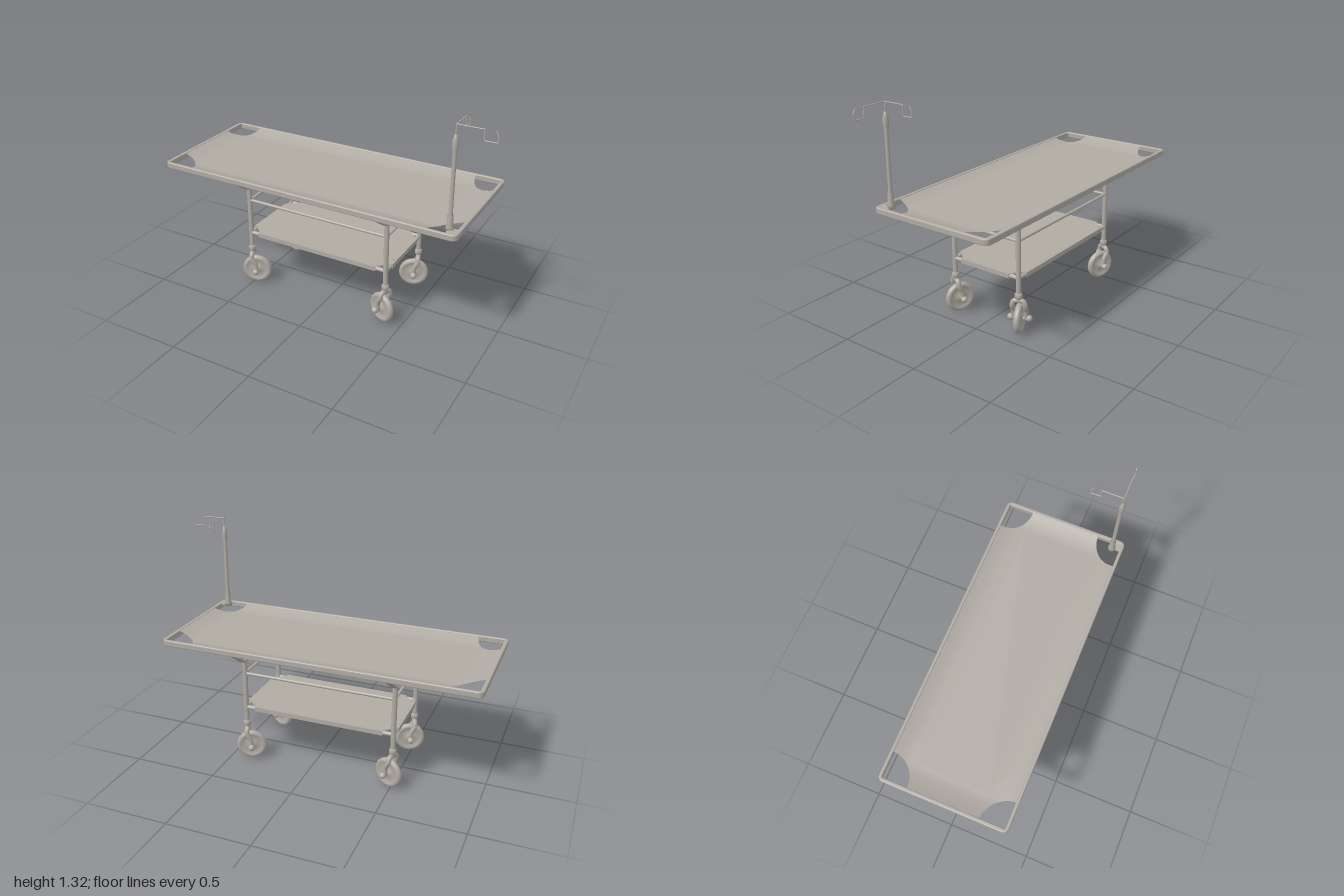
import * as THREE from 'three';

const LEG_X = [-0.505, 0.4], LEG_Z = 0.226, MID_X = -0.0525;

export function createModel() {
  const model = new THREE.Group();
  model.name = 'stretcherTrolley';
  const steel = new THREE.MeshStandardMaterial({ color: 0xb0aba3, side: THREE.DoubleSide });
  steel.name = 'warm grey steel';

  const add = (name, geometry, parent = model) => {
    const mesh = new THREE.Mesh(geometry, steel);
    mesh.name = name;
    parent.add(mesh);
    return mesh;
  };
  const V = (p) => new THREE.Vector3(...p);
  // Straight round bar between two points
  const bar = (name, a, b, r, parent = model) => {
    const p = V(a), q = V(b), d = q.clone().sub(p);
    const mesh = add(name, new THREE.CylinderGeometry(r, r, d.length(), 20), parent);
    mesh.position.copy(p).add(q).multiplyScalar(0.5);
    mesh.quaternion.setFromUnitVectors(new THREE.Vector3(0, 1, 0), d.normalize());
    return mesh;
  };
  const lathe = (pts) => new THREE.LatheGeometry(pts.map((p) => new THREE.Vector2(...p)), 32);
  const box = (name, w, h, d, x, y, z) =>
    add(name, new THREE.BoxGeometry(w, h, d)).position.set(x, y, z);

  // Rounded rectangle outline, used for the top frame
  const roundRect = (target, x0, x1, z, r) => {
    target.moveTo(x0 + r, -z);
    target.lineTo(x1 - r, -z);
    target.absarc(x1 - r, -z + r, r, -Math.PI / 2, 0, false);
    target.lineTo(x1, z - r);
    target.absarc(x1 - r, z - r, r, 0, Math.PI / 2, false);
    target.lineTo(x0 + r, z);
    target.absarc(x0 + r, z - r, r, Math.PI / 2, Math.PI, false);
    target.lineTo(x0, -z + r);
    target.absarc(x0 + r, -z + r, r, Math.PI, Math.PI * 1.5, false);
    return target;
  };
  const bevel = 0.006;
  const rim = roundRect(new THREE.Shape(), -1 + bevel, 0.85 - bevel, 0.378 - bevel, 0.025);
  rim.holes.push(roundRect(new THREE.Path(), -0.978 - bevel, 0.828 + bevel, 0.359 + bevel, 0.012));
  const rimGeo = new THREE.ExtrudeGeometry(rim, {
    depth: 0.036 - 2 * bevel, bevelThickness: bevel, bevelSize: bevel, bevelSegments: 3, curveSegments: 6,
  });
  rimGeo.rotateX(-Math.PI / 2);
  add('topFrame', rimGeo).position.y = 0.72 + bevel;

  add('canvasBed', canvasGeometry());

  // Bent flat brackets that carry the frame on each pair of legs
  const bracket = new THREE.Shape([
    [-0.372, 0.722], [-0.25, 0.636], [0.25, 0.636], [0.372, 0.722],
    [0.352, 0.722], [0.244, 0.648], [-0.244, 0.648], [-0.352, 0.722],
  ].map((p) => new THREE.Vector2(...p)));
  for (const x of LEG_X) {
    const g = new THREE.ExtrudeGeometry(bracket, { depth: 0.034, bevelEnabled: false });
    g.translate(0, 0, -0.017).rotateY(Math.PI / 2);
    add('crossBracket', g).position.x = x;
    // Cross rails between the legs
    bar('upperCrossRail', [x, 0.558, -LEG_Z], [x, 0.558, LEG_Z], 0.009);
    bar('shelfCrossRail', [x, 0.34, -LEG_Z], [x, 0.34, LEG_Z], 0.012);
    box('shelfEndLip', 0.028, 0.027, 0.34, x, 0.341, 0);
  }
  for (const z of [-LEG_Z, LEG_Z]) {
    bar('upperSideRail', [LEG_X[0], 0.558, z], [LEG_X[1], 0.558, z], 0.009);
    bar('shelfSideRail', [LEG_X[0], 0.34, z], [LEG_X[1], 0.34, z], 0.012);
    box('shelfSideLip', 0.785, 0.027, 0.028, MID_X, 0.341, z);
  }

  // Lower shelf with cut corners
  const hx = 0.452, hz = LEG_Z, cx = 0.392, cz = 0.17;
  const shelf = new THREE.Shape([
    [-cx, -hz], [cx, -hz], [hx, -cz], [hx, cz], [cx, hz], [-cx, hz], [-hx, cz], [-hx, -cz],
  ].map((p) => new THREE.Vector2(...p)));
  const shelfGeo = new THREE.ExtrudeGeometry(shelf, { depth: 0.01, bevelEnabled: false });
  shelfGeo.rotateX(-Math.PI / 2);
  add('lowerShelf', shelfGeo).position.set(MID_X, 0.345, 0);

  // Legs and swivelled casters
  for (const sx of [-1, 1]) {
    for (const sz of [-1, 1]) {
      const x = sx < 0 ? LEG_X[0] : LEG_X[1], z = sz * LEG_Z;
      bar('leg', [x, 0.235, z], [x, 0.642, z], 0.0145);
      const caster = makeCaster(-sx * 0.024);
      caster.position.set(x, 0, z);
      caster.rotation.y = THREE.MathUtils.degToRad(-sx * sz * 22);
      model.add(caster);
    }
  }

  function makeCaster(trail) {
    const caster = new THREE.Group();
    caster.name = 'caster';
    add('swivelCollar', lathe([[0, 0.212], [0.014, 0.212], [0.021, 0.222], [0.022, 0.243], [0.016, 0.252], [0, 0.252]]), caster);
    // Inverted U fork sweeping back to the axle
    const half = [[trail, 0.09, 0.036], [trail * 0.8, 0.135, 0.036], [0, 0.175, 0.037], [0, 0.2, 0.028]];
    const path = [...half, [0, 0.206, 0], ...half.slice().reverse().map(([a, b, c]) => [a, b, -c])];
    add('fork', new THREE.TubeGeometry(new THREE.CatmullRomCurve3(path.map(V)), 40, 0.0145, 12), caster);
    const side = [[0.089, 0], [0.087, 0.01], [0.078, 0.018], [0.066, 0.018], [0.06, 0.012], [0.03, 0.008], [0.022, 0.022], [0, 0.022]];
    const profile = [...side.slice(1).reverse().map(([r, y]) => [r, -y]), ...side];
    const wheel = add('wheel', lathe(profile), caster);
    wheel.rotation.x = Math.PI / 2;
    wheel.position.set(trail, 0.089, 0);
    bar('axle', [trail, 0.089, -0.055], [trail, 0.089, 0.055], 0.014, caster);
    for (const s of [-1, 1]) {
      add('axleCap', new THREE.SphereGeometry(0.019, 16, 12), caster).position.set(trail, 0.089, s * 0.053);
    }
    return caster;
  }

  // Infusion pole with its fittings
  const pole = new THREE.Group();
  pole.name = 'infusionPole';
  pole.position.set(0.787, 0, 0.312);
  model.add(pole);
  box('poleMount', 0.05, 0.012, 0.07, 0.808, 0.748, 0.335);
  add('poleShaft', lathe([
    [0, 0.745], [0.022, 0.745], [0.022, 0.77], [0.016, 0.772], [0.016, 0.832], [0.011, 0.834], [0.011, 1.18],
    [0.015, 1.19], [0.016, 1.235], [0.009, 1.243], [0.008, 1.26], [0, 1.262],
  ]), pole);
  bar('poleRod', [0, 1.25, 0], [0, 1.316, 0], 0.003, pole);
  // Two bent wire hooks, one along +x and one along -z
  const hook = [[0, 1.313], [0.14, 1.313], [0.14, 1.256], [0.207, 1.256], [0.207, 1.292], [0.195, 1.313]];
  const hookZ = hook.map(([d, y]) => [d > 0.14 ? d * 0.88 : d * 0.9, y]);
  const wire = (pts) => {
    for (let i = 1; i < pts.length; i++) bar('hookWire', pts[i - 1], pts[i], 0.003, pole);
  };
  wire(hook.map(([d, y]) => [d, y, 0]));
  wire(hookZ.map(([d, y]) => [0, y, -d]));

  return model;
}

// Sagging sheet with quarter-circle cut-outs at its corners
function canvasGeometry() {
  const x0 = -0.982, x1 = 0.832, zMax = 0.365, r = 0.155, n = 12, cols = 10;
  const rows = [];
  for (let i = 0; i <= n; i++) {
    const a = (i / n) * Math.PI / 2;
    rows.push([-zMax + r * Math.sin(a), r * Math.cos(a)]);
  }
  rows.push(...rows.slice().reverse().map(([z, inset]) => [-z, inset]));
  const height = (x, z) => {
    const tx = 1 - Math.min(x - x0, x1 - x) / 0.12, tz = 1 - (zMax - Math.abs(z)) / 0.1;
    const t = Math.max(tx, tz, 0);
    return 0.726 + 0.027 * t ** 1.5;
  };
  const pos = [], index = [], w = 2 * cols + 2;
  rows.forEach(([z, inset], j) => {
    for (let i = 0; i < w; i++) {
      const x = i <= cols ? x0 + inset + 0.15 * i / cols : x1 - inset - 0.15 * (w - 1 - i) / cols;
      pos.push(x, height(x, z), z);
      if (i && j) {
        const d = j * w + i, c = d - 1, b = d - w, a = b - 1;
        index.push(a, c, b, b, c, d);
      }
    }
  });
  const g = new THREE.BufferGeometry();
  g.setAttribute('position', new THREE.Float32BufferAttribute(pos, 3));
  g.setIndex(index);
  g.computeVertexNormals();
  return g;
}
